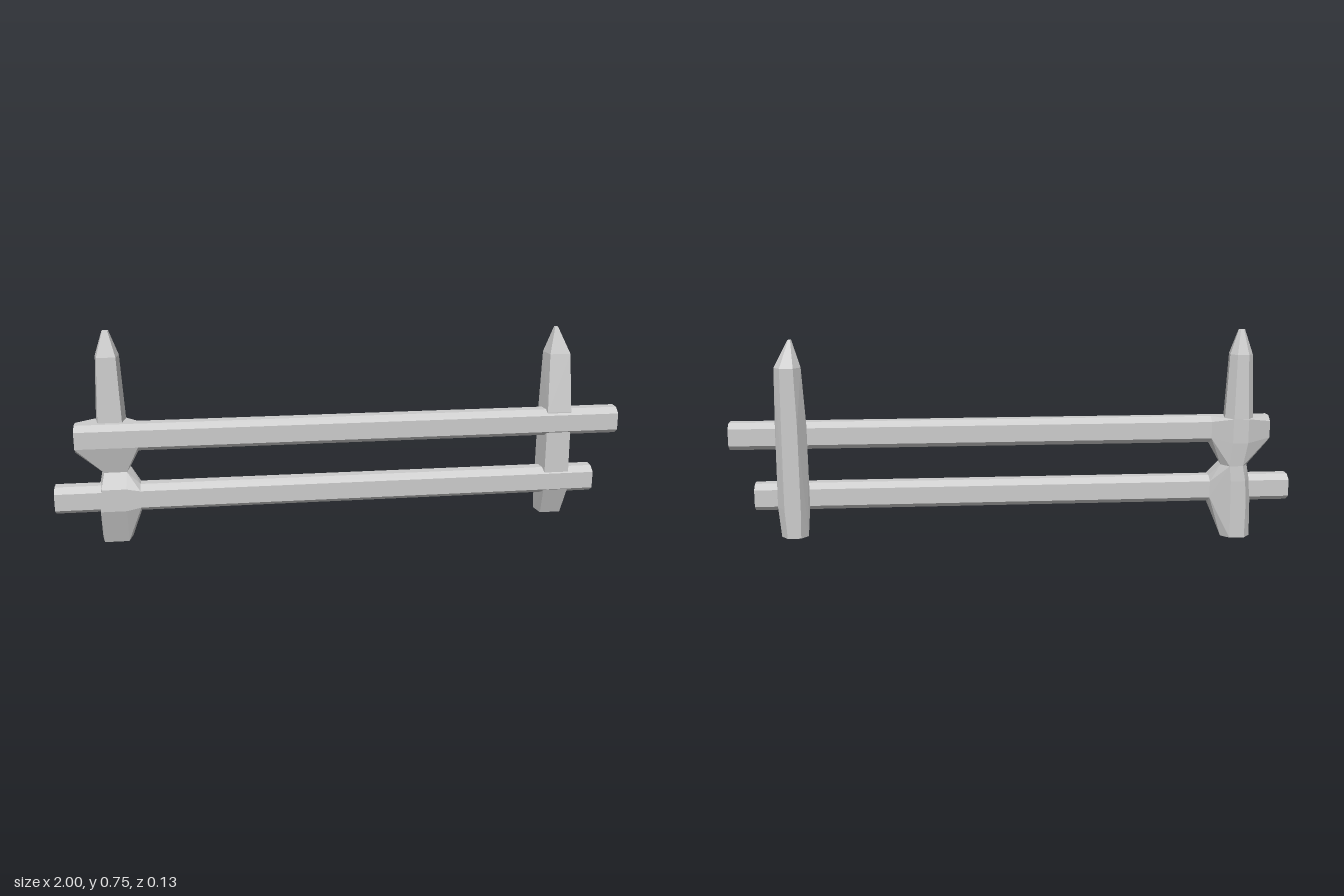
import * as THREE from 'three';
import { ConvexGeometry } from 'three/addons/geometries/ConvexGeometry.js';

const material = new THREE.MeshStandardMaterial({ color: 0xcccccc, flatShading: true });

// Six-sided horizontal section of a hewn post: narrow back, wide flat front
function postRing(x0, x1, y, back, front) {
  const c = (x0 + x1) / 2, h = (x1 - x0) / 2, d = front - back;
  return [[-0.5, 0], [0.5, 0], [1, 0.35], [0.8, 1], [-0.8, 1], [-1, 0.35]]
    .map(([u, w]) => new THREE.Vector3(c + u * h, y, back + w * d));
}

// Vertical section of a rail with chamfered top and bottom
function railRing(x, y0, y1) {
  const c = 0.018;
  return [[0.066, y0 + c], [0.066, y1 - c], [0.04, y1], [0.004, y1],
    [-0.021, y1 - c], [-0.021, y0 + c], [0.004, y0], [0.04, y0]]
    .map(([z, y]) => new THREE.Vector3(x, y, z));
}

// Faceted solid wrapped around a stack of sections
function solid(name, rings) {
  const mesh = new THREE.Mesh(new ConvexGeometry(rings.flat()), material);
  mesh.name = name;
  return mesh;
}

export function createModel() {
  const model = new THREE.Group();
  model.name = 'fence';

  // Rails
  model.add(
    solid('upperRail', [railRing(-0.92, 0.342, 0.438), railRing(1, 0.342, 0.438)]),
    solid('lowerRail', [railRing(-1, 0.123, 0.219), railRing(0.92, 0.123, 0.219)])
  );

  // Left-hand post, one tapered piece
  model.add(solid('leftPost', [
    postRing(0.735, 0.828, 0.035, -0.065, 0.022),
    postRing(0.728, 0.84, 0.14, -0.065, 0.062),
    postRing(0.73, 0.838, 0.43, -0.065, 0.057),
    postRing(0.74, 0.832, 0.635, -0.065, 0.022),
    postRing(0.77, 0.783, 0.728, -0.024, -0.008)
  ]));

  // Right-hand post: foot, knot round the upper rail, and pointed top
  const post = new THREE.Group();
  post.name = 'rightPost';
  post.add(
    solid('postFoot', [
      postRing(-0.855, -0.748, 0, -0.065, 0.022),
      postRing(-0.857, -0.745, 0.13, -0.065, 0.066),
      postRing(-0.85, -0.745, 0.21, -0.065, 0.066),
      postRing(-0.838, -0.742, 0.265, -0.062, 0.04),
      railRing(-0.707, 0.123, 0.219)
    ]),
    solid('railKnot', [
      postRing(-0.838, -0.742, 0.265, -0.062, 0.04),
      postRing(-0.855, -0.745, 0.35, -0.069, 0.06),
      postRing(-0.855, -0.745, 0.437, -0.069, 0.04),
      railRing(-0.92, 0.342, 0.438),
      railRing(-0.707, 0.342, 0.438)
    ]),
    solid('postTop', [
      postRing(-0.853, -0.748, 0.42, -0.067, 0.022),
      postRing(-0.841, -0.76, 0.665, -0.057, 0.013),
      postRing(-0.812, -0.79, 0.752, -0.03, -0.012)
    ])
  );
  model.add(post);

  return model;
}
